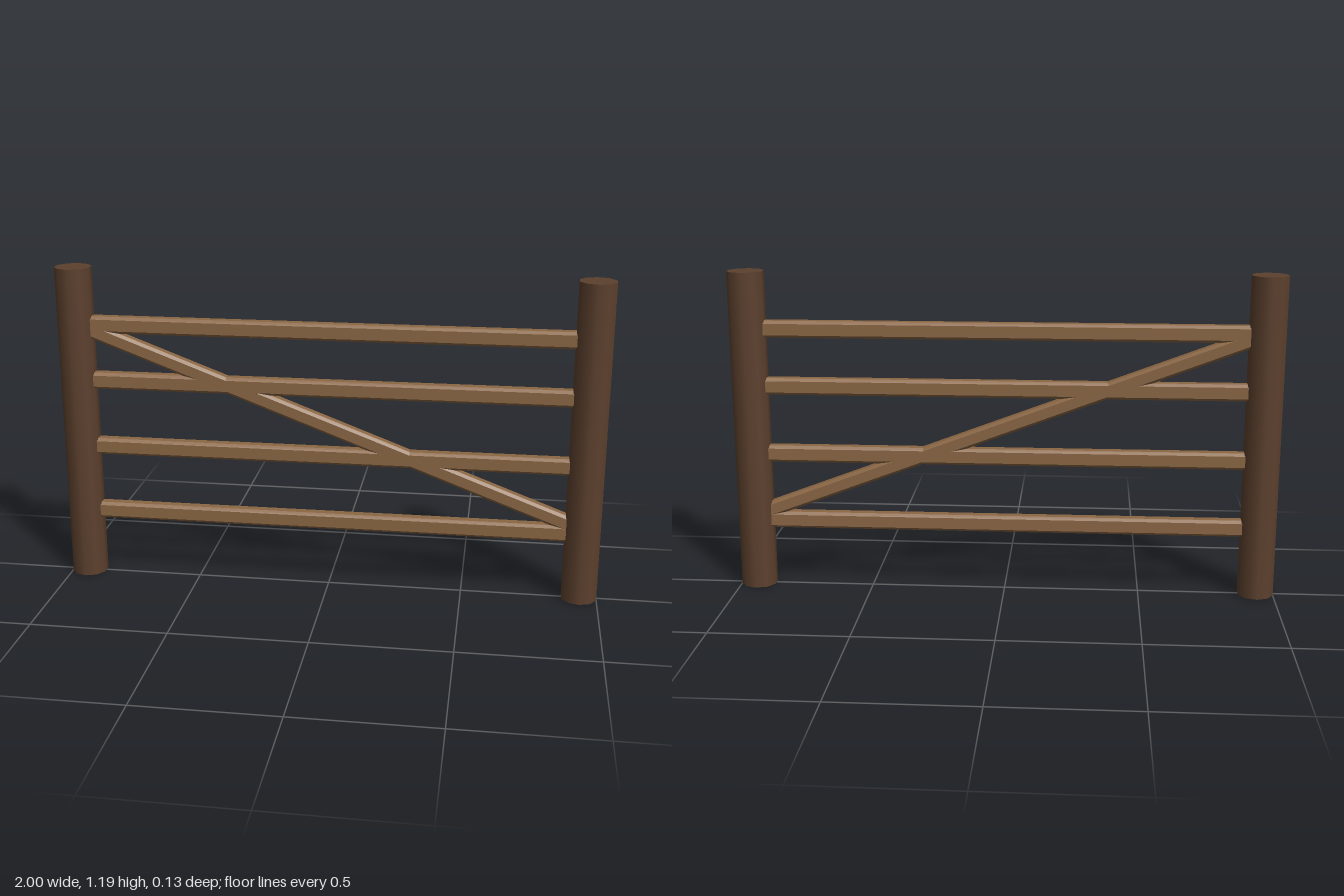
import * as THREE from 'three';

const postWood = new THREE.MeshStandardMaterial({ name: 'darkPostWood', color: 0x5c402d });
const railWood = new THREE.MeshStandardMaterial({ name: 'lightRailWood', color: 0x8b6744 });

const POST_RADIUS = 0.067;
const POST_HEIGHT = 1.19;
const POST_X = 0.936;

// Bar along x with chamfered long edges, centred on the origin
function barGeometry(length, height, depth, chamfer) {
  const h = height / 2, d = depth / 2, c = chamfer;
  const section = new THREE.Shape([
    [d - c, -h], [d, -h + c], [d, h - c], [d - c, h],
    [-d + c, h], [-d, h - c], [-d, -h + c], [-d + c, -h],
  ].map(([x, y]) => new THREE.Vector2(x, y)));
  return new THREE.ExtrudeGeometry(section, { depth: length, bevelEnabled: false, steps: 1 })
    .translate(0, 0, -length / 2)
    .rotateY(Math.PI / 2);
}

export function createModel() {
  const gate = new THREE.Group();
  gate.name = 'fenceGate';

  const add = (name, geometry, material, x, y, tilt = 0) => {
    const mesh = new THREE.Mesh(geometry, material);
    mesh.name = name;
    mesh.position.set(x, y, 0);
    mesh.rotation.z = tilt;
    gate.add(mesh);
  };

  // Ten-sided round posts
  const postGeometry = new THREE.CylinderGeometry(POST_RADIUS, POST_RADIUS, POST_HEIGHT, 10);
  add('leftPost', postGeometry, postWood, POST_X, POST_HEIGHT / 2);
  add('rightPost', postGeometry, postWood, -POST_X, POST_HEIGHT / 2);

  // Four horizontal rails, ends buried in the posts
  const railGeometry = barGeometry(1.82, 0.062, 0.05, 0.01);
  [0.257, 0.513, 0.768, 0.98].forEach((y, i) => add(`rail${i + 1}`, railGeometry, railWood, 0, y));

  // Diagonal brace, flush with the rails
  const slope = Math.atan(-0.378);
  add('diagonalBrace', barGeometry(1.8 / Math.cos(slope), 0.057, 0.05, 0.01), railWood, 0, 0.627, slope);

  return gate;
}
